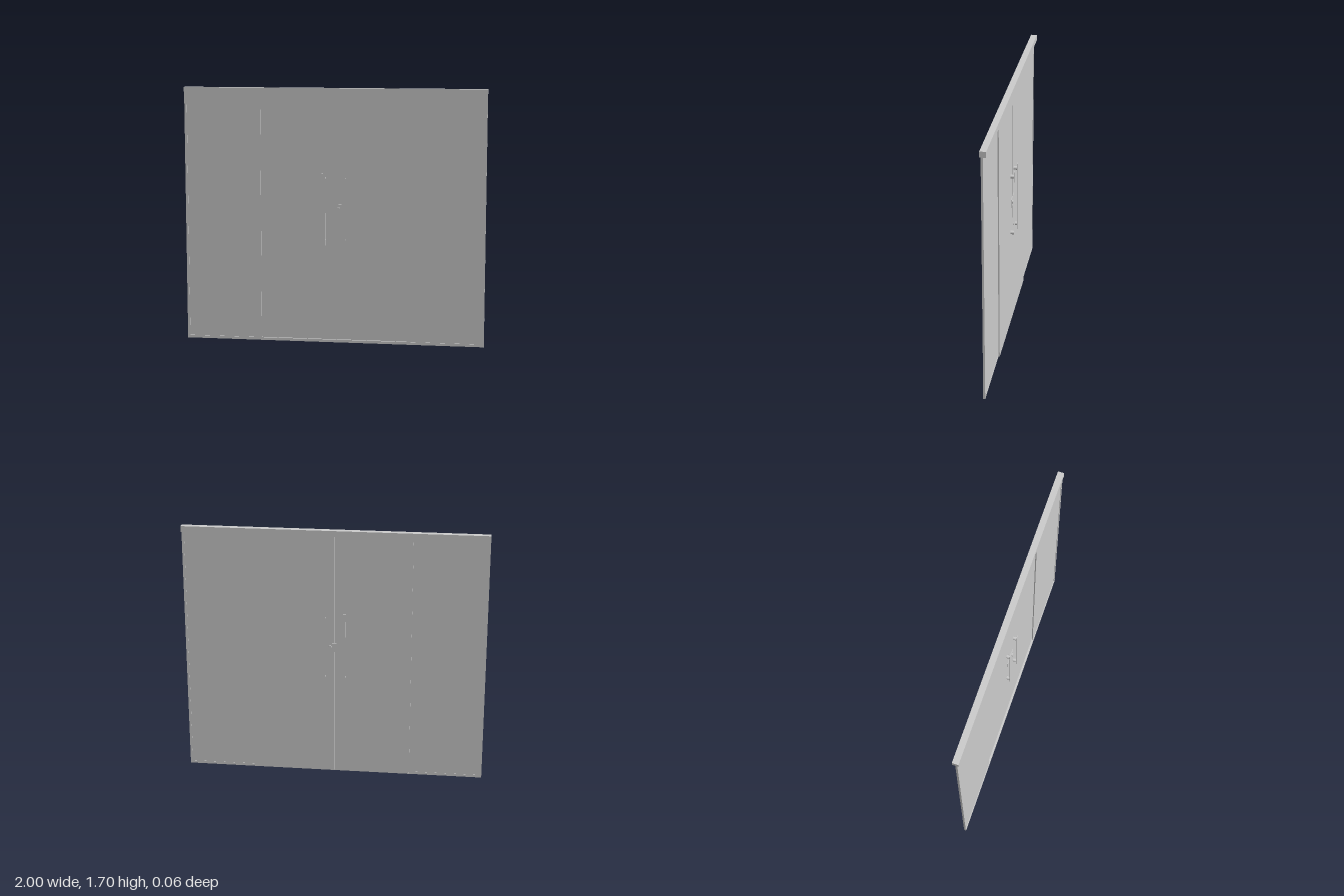
import * as THREE from 'three';

export function createModel() {
  const model = new THREE.Group();
  const grey = new THREE.MeshStandardMaterial({ color: 0xcccccc });

  // Box given by its limits on each axis
  function box(name, x0, x1, y0, y1, z0, z1, parent = model) {
    const mesh = new THREE.Mesh(new THREE.BoxGeometry(x1 - x0, y1 - y0, z1 - z0), grey);
    mesh.name = name;
    mesh.position.set((x0 + x1) / 2, (y0 + y1) / 2, (z0 + z1) / 2);
    parent.add(mesh);
    return mesh;
  }

  // Round bar running along z
  function rod(name, x, y, z0, z1, radius, parent = model) {
    const geometry = new THREE.CylinderGeometry(radius, radius, z1 - z0, 24);
    geometry.rotateX(Math.PI / 2);
    const mesh = new THREE.Mesh(geometry, grey);
    mesh.name = name;
    mesh.position.set(x, y, (z0 + z1) / 2);
    parent.add(mesh);
  }

  // Header over the whole width and floor rail under the fixed panels
  box('header', -1, 1, 1.66, 1.698, -0.016, 0.025);
  box('floorRail', -1, 1, 0, 0.018, 0.005, 0.018);

  for (const side of [-1, 1]) {
    const label = side > 0 ? 'left' : 'right';
    const span = (a, b) => (side > 0 ? [a, b] : [-b, -a]);

    // Wall channel and fixed pane, set in front of the doors
    box(label + 'WallChannel', ...span(0.984, 1), 0.018, 1.66, 0.004, 0.017);
    box(label + 'FixedPanel', ...span(0.49, 0.984), 0.018, 1.66, 0.0065, 0.0135);

    // Sliding door leaf
    const door = new THREE.Group();
    door.name = label + 'Door';
    model.add(door);
    box(label + 'DoorPanel', ...span(0.0005, 0.51), 0.004, 1.66, -0.004, 0.004, door);

    // Pull bars on both faces, joined by two standoffs
    const handle = new THREE.Group();
    handle.name = label + 'Handle';
    door.add(handle);
    const x = side * 0.067;
    for (const face of [-1, 1]) {
      const bar = box('pullBar', x - 0.012, x + 0.012, 0.66, 1.14, -0.0015, 0.0015, handle);
      bar.position.z = face * 0.0285;
    }
    for (const y of [0.695, 1.105]) rod('standoff', x, y, -0.028, 0.028, 0.012, handle);
  }

  // Lock: a thin plate on each face with a round cylinder through it
  const lock = new THREE.Group();
  lock.name = 'lock';
  model.add(lock);
  box('lockPlate', -0.055, 0.055, 0.87, 0.93, -0.0075, 0.0075, lock);
  rod('lockCylinder', 0.027, 0.903, -0.016, 0.016, 0.012, lock);

  return model;
}
